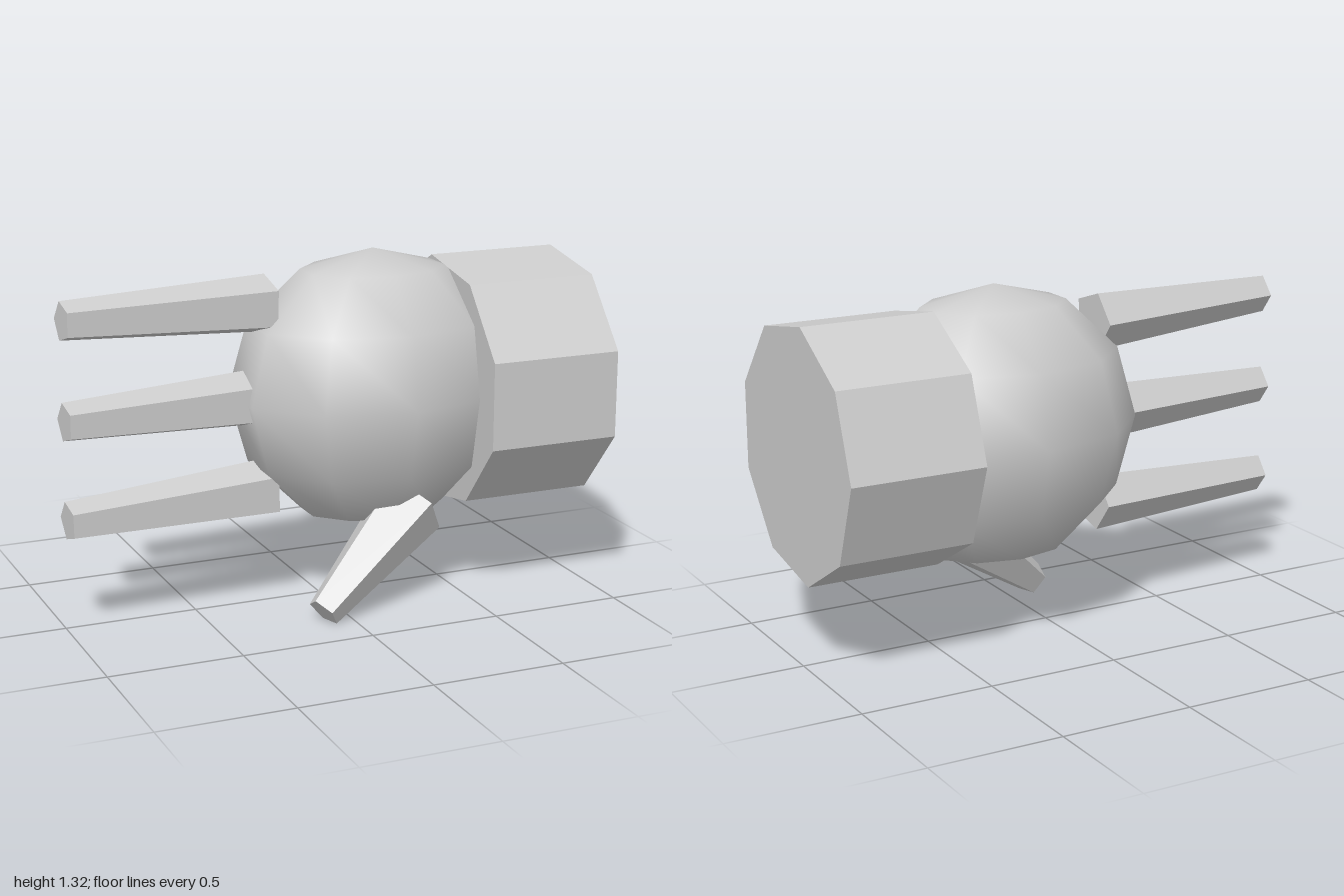
import * as THREE from 'three';

const grey = new THREE.MeshStandardMaterial({ color: 0xcccccc });
grey.name = 'light grey';

// Tapered faceted prism from point a to point b; corner points from the axis to one vertex.
function prism(name, a, b, radiusA, radiusB, sides, corner) {
  const start = new THREE.Vector3(...a);
  const end = new THREE.Vector3(...b);
  const y = end.clone().sub(start);
  const length = y.length();
  y.normalize();
  const x = y.clone().cross(new THREE.Vector3(...corner)).normalize();
  const z = x.clone().cross(y);

  const geometry = new THREE.CylinderGeometry(radiusB, radiusA, length, sides).toNonIndexed();
  geometry.computeVertexNormals(); // flat facets
  const mesh = new THREE.Mesh(geometry, grey);
  mesh.name = name;
  mesh.quaternion.setFromRotationMatrix(new THREE.Matrix4().makeBasis(x, y, z));
  mesh.position.copy(start).add(end).multiplyScalar(0.5);
  return mesh;
}

export function createModel() {
  const hand = new THREE.Group();
  hand.name = 'hand';

  // Smooth, flattened palm
  const palm = new THREE.Mesh(new THREE.SphereGeometry(1, 10, 6, Math.PI / 10), grey);
  palm.name = 'palm';
  palm.scale.set(0.557, 0.53, 0.41);
  palm.position.set(0.21, 0.79, 0.01);
  hand.add(palm);

  // Nine-sided cuff
  hand.add(prism('cuff', [0.49, 0.79, 0.016], [1, 0.79, 0.016], 0.477, 0.477, 9, [0, 0, -1]));

  // Three fingers, fanned slightly apart
  ['lowerFinger', 'middleFinger', 'upperFinger'].forEach((name, i) => {
    const k = i - 1;
    hand.add(prism(name, [-0.997, 0.79 + k * 0.365, 0.062], [-0.205, 0.79 + k * 0.35, 0.005],
      0.074, 0.113, 5, [0, 0, -1]));
  });

  // Thumb hanging down in front
  hand.add(prism('thumb', [-0.1155, 0.0434, 0.315], [0.3, 0.373, 0.177],
    0.065, 0.143, 5, [0.09, -0.098, 0.058]));

  return hand;
}
